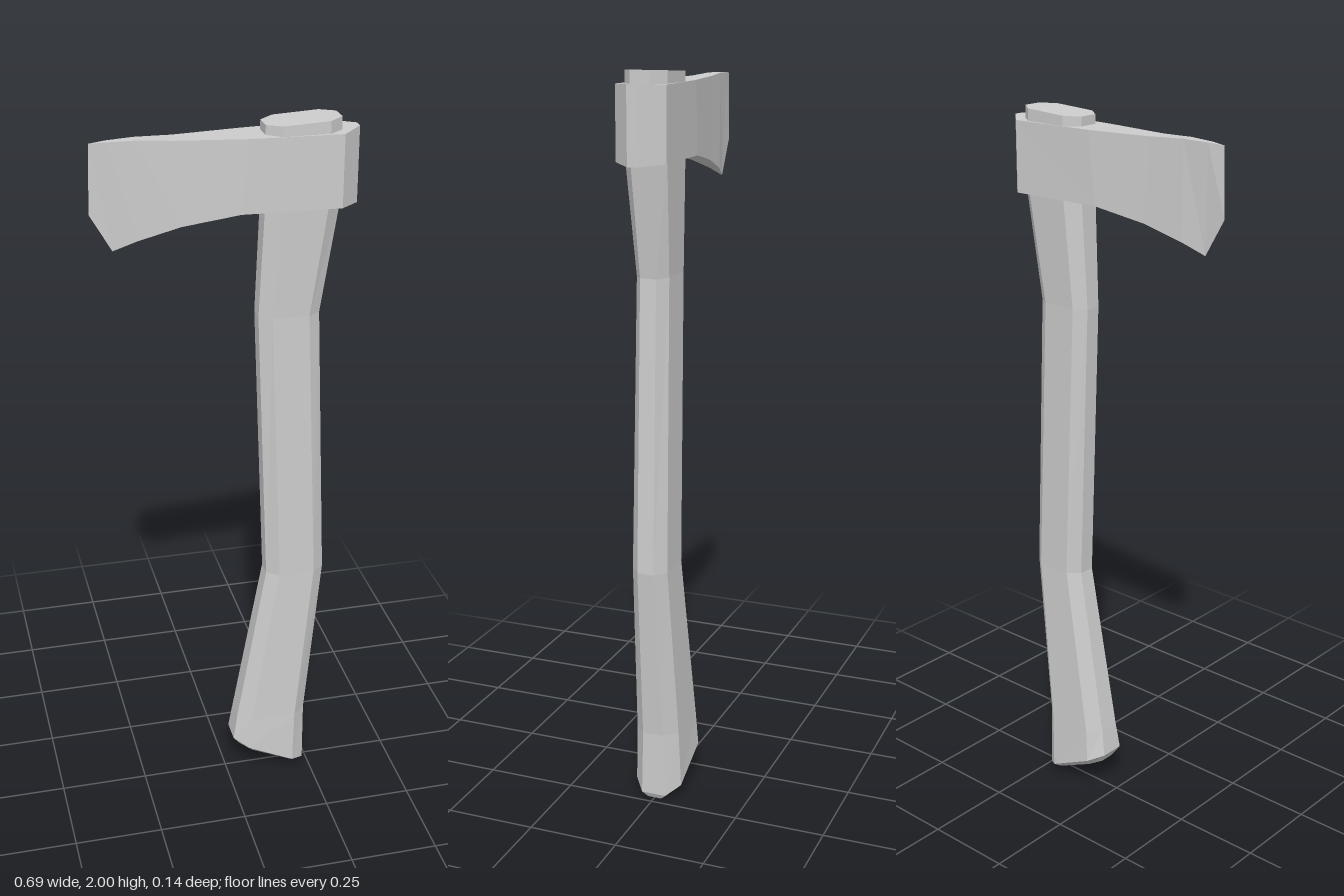
import * as THREE from 'three';

// Joins a row of equal-sized rings with flat faces and caps both ends.
// Rings run counter-clockwise when looking back from the last ring to the first.
function loft(rings) {
  const pos = [];
  const tri = (a, b, c) => {
    const area = b.clone().sub(a).cross(c.clone().sub(a)).length();
    if (area > 1e-8) pos.push(...a, ...b, ...c);
  };
  const n = rings[0].length;
  for (let r = 0; r < rings.length - 1; r++) {
    for (let i = 0; i < n; i++) {
      const j = (i + 1) % n;
      tri(rings[r][i], rings[r][j], rings[r + 1][j]);
      tri(rings[r][i], rings[r + 1][j], rings[r + 1][i]);
    }
  }
  const first = rings[0], last = rings[rings.length - 1];
  for (let i = 1; i < n - 1; i++) {
    tri(first[0], first[i + 1], first[i]);
    tri(last[0], last[i], last[i + 1]);
  }
  const geo = new THREE.BufferGeometry();
  geo.setAttribute('position', new THREE.Float32BufferAttribute(pos, 3));
  geo.computeVertexNormals();
  return geo;
}

// Chamfered octagon across the handle; its height slopes from yl (left end) to yr (right end)
function handleRing([x0, x1, yl, yr, z, cx, cz]) {
  const at = (x, zz) => new THREE.Vector3(x, yl + (yr - yl) * (x - x0) / (x1 - x0), zz);
  return [
    at(x1, cz), at(x1, -cz), at(x1 - cx, -z), at(x0 + cx, -z),
    at(x0, -cz), at(x0, cz), at(x0 + cx, z), at(x1 - cx, z),
  ];
}

// Upright rectangle across the axe head
function headRing([xTop, yTop, zTop, xBottom, yBottom, zBottom]) {
  return [
    new THREE.Vector3(xTop, yTop, zTop),
    new THREE.Vector3(xBottom, yBottom, zBottom),
    new THREE.Vector3(xBottom, yBottom, -zBottom),
    new THREE.Vector3(xTop, yTop, -zTop),
  ];
}

export function createModel() {
  const grey = new THREE.MeshStandardMaterial({ color: 0xcccccc, flatShading: true });
  grey.name = 'light grey';
  const axe = new THREE.Group();
  axe.name = 'axe';

  // Curved handle with a slanted, bevelled foot
  const handle = new THREE.Mesh(loft([
    [0.04, 0.226, 0.088, 0, 0.04, 0.035, 0.02],
    [0.018, 0.234, 0.122, 0.015, 0.067, 0.04, 0.035],
    [0.03, 0.235, 0.2, 0.2, 0.062, 0.036, 0.03],
    [0.115, 0.282, 0.69, 0.69, 0.05, 0.033, 0.023],
    [0.084, 0.25, 1.48, 1.48, 0.045, 0.033, 0.022],
    [0.097, 0.295, 1.78, 1.78, 0.057, 0.038, 0.027],
    [0.096, 0.294, 1.99, 2, 0.057, 0.038, 0.027],
  ].map(handleRing)), grey);
  handle.name = 'handle';

  // Wedge-shaped head, from the cutting edge to the chamfered poll
  const head = new THREE.Mesh(loft([
    [-0.344, 1.965, 0, -0.35, 1.785, 0],
    [-0.3, 1.968, 0.009, -0.293, 1.685, 0],
    [-0.23, 1.97, 0.017, -0.23, 1.712, 0.015],
    [-0.13, 1.966, 0.028, -0.12, 1.745, 0.029],
    [0.05, 1.965, 0.053, 0.03, 1.772, 0.05],
    [0.29, 1.966, 0.068, 0.29, 1.775, 0.068],
    [0.345, 1.97, 0.014, 0.345, 1.77, 0.014],
  ].map(headRing)), grey);
  head.name = 'axeHead';

  axe.add(handle, head);
  return axe;
}
